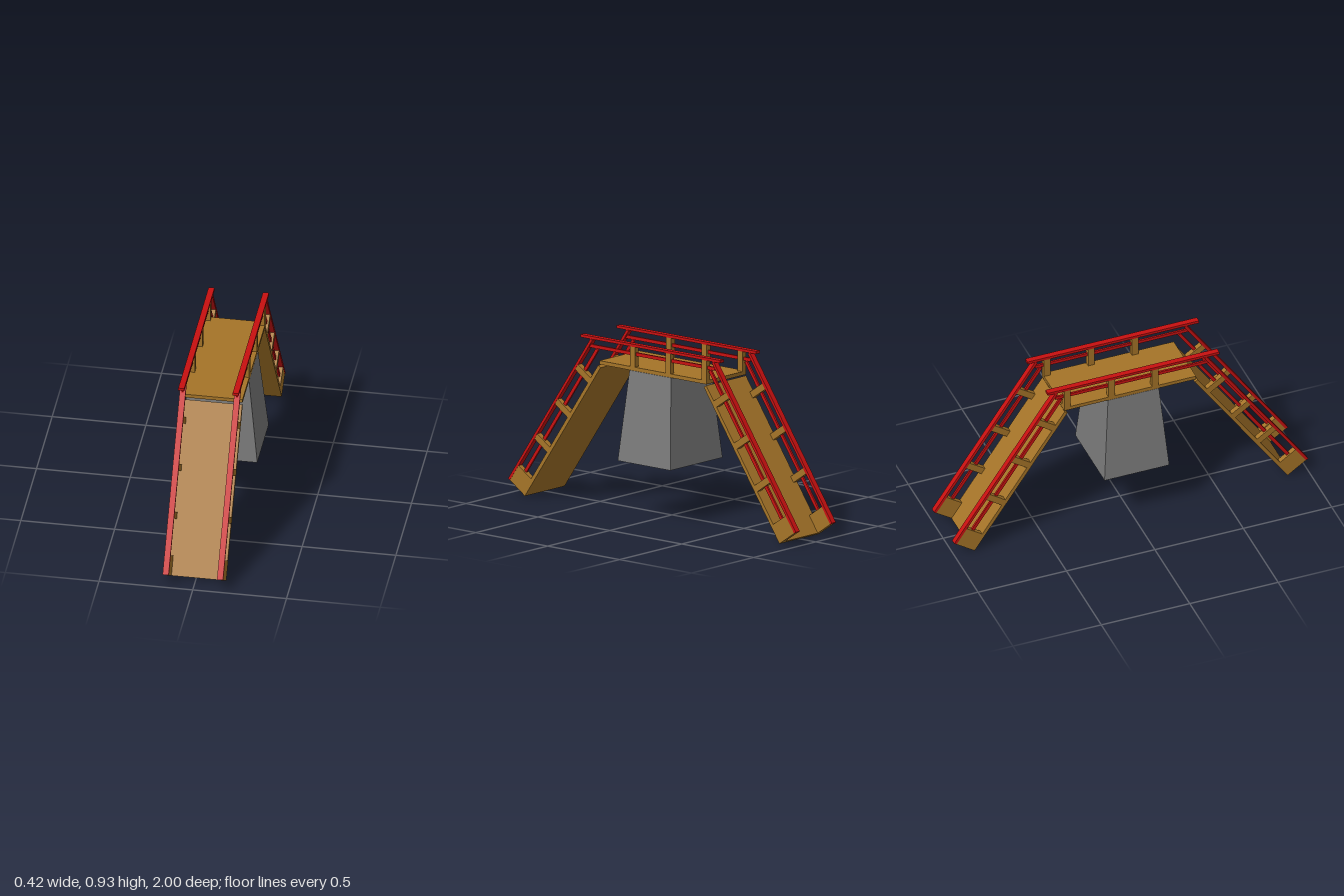
import * as THREE from 'three';

const wood = new THREE.MeshStandardMaterial({ name: 'wood', color: 0xa57428 });
const red = new THREE.MeshStandardMaterial({ name: 'red paint', color: 0xc81010 });
const stone = new THREE.MeshStandardMaterial({ name: 'grey stone', color: 0x7a7a7a });

const HALF = 0.16;   // half width of the bridge
const RAIL_X = 0.145; // centre of each railing

// Box given by its extents along each axis
function box(parent, name, material, [x0, x1], [y0, y1], [z0, z1]) {
  const mesh = new THREE.Mesh(new THREE.BoxGeometry(x1 - x0, y1 - y0, z1 - z0), material);
  mesh.position.set((x0 + x1) / 2, (y0 + y1) / 2, (z0 + z1) / 2);
  mesh.name = name;
  parent.add(mesh);
  return mesh;
}

// Extents across a railing piece of the given width
const across = (side, width) => [side * RAIL_X - width / 2, side * RAIL_X + width / 2];

// Sloping ramp: local y runs up the slope, local z points out of the walking surface
function createRamp(name) {
  const ramp = new THREE.Group();
  ramp.name = name;
  const slope = new THREE.Group();
  slope.name = 'slope';
  slope.position.set(0, 0, 0.885);
  slope.rotation.x = -0.6005;
  ramp.add(slope);
  box(slope, 'rampPlank', wood, [-HALF, HALF], [0, 0.93], [0, 0.02]);
  for (const side of [-1, 1]) {
    box(slope, 'endBlock', wood, across(side, 0.03), [0, 0.105], [0.02, 0.125]);
    for (const s of [0.318, 0.57, 0.82]) {
      box(slope, 'rampPost', wood, across(side, 0.03), [s - 0.018, s + 0.018], [0.02, 0.125]);
    }
    box(slope, 'rampHandrail', red, across(side, 0.032), [0, 1.014], [0.125, 0.14]);
    box(slope, 'rampMiddleRail', red, across(side, 0.011), [0.1, 0.988], [0.07, 0.088]);
  }
  return ramp;
}

// Level deck with its railings
function createDeck() {
  const deck = new THREE.Group();
  deck.name = 'deck';
  box(deck, 'deckPlank', wood, [-HALF, HALF], [0.785, 0.805], [-0.378, 0.367]);
  for (const side of [-1, 1]) {
    for (const z of [0.137, -0.11, -0.36]) {
      box(deck, 'deckPost', wood, across(side, 0.03), [0.805, 0.913], [z - 0.018, z + 0.018]);
    }
    box(deck, 'deckHandrail', red, across(side, 0.032), [0.913, 0.928], [-0.472, 0.498]);
    box(deck, 'deckMiddleRail', red, across(side, 0.011), [0.864, 0.882], [-0.424, 0.456]);
  }
  return deck;
}

// Tapered stone pillar with a wooden underside
function createPillar() {
  const geometry = new THREE.BoxGeometry(0.32, 0.485, 0.288);
  const p = geometry.attributes.position;
  for (let i = 0; i < p.count; i++) {
    if (p.getY(i) < 0) {
      p.setX(i, Math.sign(p.getX(i)) * 0.21);
      p.setZ(i, Math.sign(p.getZ(i)) * 0.183);
    }
  }
  geometry.computeVertexNormals();
  const pillar = new THREE.Mesh(geometry, [stone, stone, stone, wood, stone, stone]);
  pillar.position.set(0, 0.5415, 0.013);
  pillar.name = 'pillar';
  return pillar;
}

export function createModel() {
  const bridge = new THREE.Group();
  bridge.name = 'footbridge';
  const backRamp = createRamp('backRamp');
  backRamp.rotation.y = Math.PI;
  bridge.add(createRamp('frontRamp'), backRamp, createDeck(), createPillar());
  return bridge;
}
